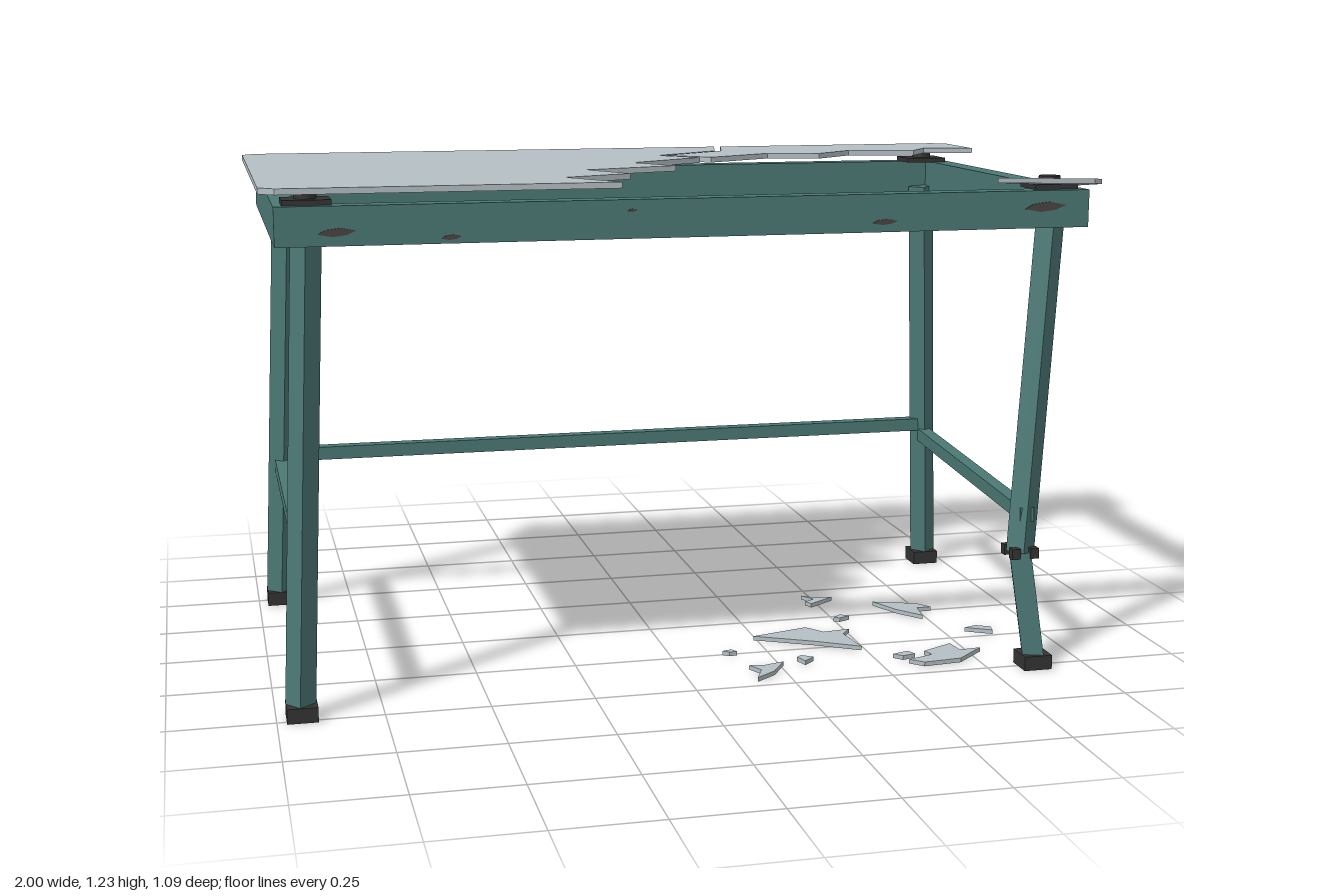
import * as THREE from 'three';

const mat = (name, color) => Object.assign(new THREE.MeshStandardMaterial({ color }), { name });

export function createModel() {
  const root = new THREE.Group();
  root.name = 'brokenTable';
  const teal = mat('teal painted steel', 0x4b7874);
  const glass = mat('grey glass', 0xb4bfc4);
  const rubber = mat('dark rubber', 0x333333);
  const rust = mat('bare chipped metal', 0x4a4341);

  const add = (name, geometry, material, x = 0, y = 0, z = 0) => {
    const m = new THREE.Mesh(geometry, material);
    m.name = name;
    m.position.set(x, y, z);
    root.add(m);
    return m;
  };
  const box = (name, w, h, d, material, x, y, z) =>
    add(name, new THREE.BoxGeometry(w, h, d), material, x, y, z);

  // Square bar between two points; sloping legs turn a corner outwards
  const bar = (name, a, b, w, h = w) => {
    const p = new THREE.Vector3(...a), q = new THREE.Vector3(...b);
    const m = box(name, w, h, p.distanceTo(q), teal, 0, 0, 0);
    m.position.copy(p).add(q).multiplyScalar(0.5);
    m.lookAt(q);
    return m;
  };

  // Flat plate from an outline of [x, z] points
  const slab = (name, pts, thickness, y) => {
    const shape = new THREE.Shape(pts.map(([x, z]) => new THREE.Vector2(x, -z)));
    const g = new THREE.ExtrudeGeometry(shape, { depth: thickness, bevelEnabled: false });
    g.rotateX(-Math.PI / 2);
    return add(name, g, glass, 0, y, 0);
  };

  // Top frame
  for (const s of [-1, 1]) {
    box(s > 0 ? 'frontRail' : 'backRail', 1.935, 0.09, 0.055, teal, 0, 1.145, s * 0.48);
    box(s > 0 ? 'leftRail' : 'rightRail', 0.055, 0.09, 0.906, teal, s * 0.94, 1.145, 0);
  }

  // Three sound legs with feet, and a support pad at every corner
  for (const sx of [-1, 1]) for (const sz of [-1, 1]) {
    box('padPlate', 0.11, 0.012, 0.09, rubber, sx * 0.893, 1.196, sz * 0.44);
    add('padPuck', new THREE.CylinderGeometry(0.026, 0.026, 0.018, 12), rubber, sx * 0.893, 1.211, sz * 0.44);
    if (sx > 0 && sz > 0) continue;
    bar('leg', [sx * 0.894, 1.12, sz * 0.439], [sx * 0.943, 0.03, sz * 0.48], 0.05);
    box('foot', 0.072, 0.036, 0.072, rubber, sx * 0.941, 0.018, sz * 0.481);
  }

  // Buckled front leg: upper part, lower part, torn joint, foot
  const knee = [0.828, 0.295, 0.493];
  bar('bentLegUpper', [0.899, 1.12, 0.44], knee, 0.05);
  bar('bentLegLower', knee, [0.866, 0.03, 0.507], 0.052);
  for (const sx of [-1, 1]) for (const sz of [-1, 1])
    box('tornJoint', 0.022, 0.026, 0.022, rubber, knee[0] + sx * 0.024, 0.297, knee[2] + sz * 0.025);
  box('foot', 0.072, 0.036, 0.072, rubber, 0.866, 0.018, 0.508);

  // Stretchers
  bar('backStretcher', [-0.925, 0.422, -0.465], [0.925, 0.422, -0.465], 0.035);
  bar('rightStretcher', [-0.927, 0.392, -0.465], [-0.927, 0.392, 0.465], 0.035);
  bar('leftStretcher', [0.836, 0.392, 0.51], [0.927, 0.392, -0.465], 0.035);

  // Paint chips on the front rail: [x, y, width, height]
  const chips = [[-0.83, 1.131, 0.085, 0.02], [-0.575, 1.114, 0.045, 0.012], [-0.16, 1.165, 0.022, 0.008],
    [0.45, 1.124, 0.062, 0.014], [0.855, 1.151, 0.105, 0.024]];
  const outline = [[-0.5, -0.2], [-0.1, -0.5], [0.25, -0.3], [0.5, 0.15], [0.1, 0.5], [-0.3, 0.3]];
  for (const [x, y, w, h] of chips) {
    const s = new THREE.Shape(outline.map(([u, v]) => new THREE.Vector2(u * w, v * h)));
    add('paintChip', new THREE.ExtrudeGeometry(s, { depth: 0.004, bevelEnabled: false }), rust, x, y, 0.506);
  }

  // Glass still lying on the frame
  slab('glassMain', [[-0.965, -0.548], [0.313, -0.548], [0.27, -0.385], [0.08, -0.25], [0.17, -0.155],
    [-0.04, -0.02], [0.043, 0.1], [-0.2, 0.18], [-0.12, 0.31], [-0.29, 0.385], [-0.19, 0.54],
    [-0.965, 0.54], [-1, 0.505], [-1, -0.515]], 0.014, 1.219);
  slab('glassBack', [[0.33, -0.548], [0.29, -0.385], [0.1, -0.25], [0.2, -0.155], [0.385, -0.26],
    [0.52, -0.225], [0.636, -0.32], [0.81, -0.28], [0.87, -0.36], [1, -0.325], [1, -0.515],
    [0.965, -0.548]], 0.014, 1.219);

  // Loose corner, sunk towards the middle of the table
  const corner = slab('glassCorner', [[0.72, 0.535], [0.84, 0.465], [0.91, 0.445], [0.93, 0.39], [1, 0.365],
    [1, 0.505], [0.965, 0.54]], 0.012, 0);
  const p = corner.geometry.attributes.position;
  for (let i = 0; i < p.count; i++)
    p.setY(i, p.getY(i) + 1.187 + (p.getZ(i) - 0.365) * 0.11 + (1 - p.getX(i)) * 0.025);
  corner.geometry.computeVertexNormals();

  // Shards on the floor
  const shards = [
    [[0.47, -0.17], [0.505, -0.143], [0.55, -0.14], [0.475, -0.09], [0.465, -0.115], [0.495, -0.13]],
    [[0.645, -0.07], [0.755, -0.03], [0.785, 0.01], [0.745, 0.012], [0.735, 0.08], [0.685, 0.016]],
    [[0.24, 0.155], [0.395, 0.112], [0.43, 0.16], [0.503, 0.15], [0.475, 0.187], [0.488, 0.298], [0.38, 0.23]],
    [[0.495, 0.045], [0.52, 0.022], [0.54, 0.04], [0.51, 0.053]],
    [[0.13, 0.255], [0.155, 0.247], [0.165, 0.265], [0.145, 0.268]],
    [[0.165, 0.38], [0.205, 0.385], [0.257, 0.37], [0.215, 0.435], [0.16, 0.475], [0.185, 0.42]],
    [[0.3, 0.345], [0.315, 0.332], [0.342, 0.352], [0.312, 0.378]],
    [[0.545, 0.375], [0.59, 0.36], [0.6, 0.385], [0.565, 0.395]],
    [[0.63, 0.37], [0.717, 0.325], [0.722, 0.38], [0.78, 0.375], [0.7, 0.445], [0.6, 0.455], [0.57, 0.425], [0.64, 0.4]],
    [[0.805, 0.208], [0.84, 0.195], [0.875, 0.215], [0.868, 0.245]],
  ];
  shards.forEach((s) => slab('floorShard', s, 0.011, 0.001));

  return root;
}
